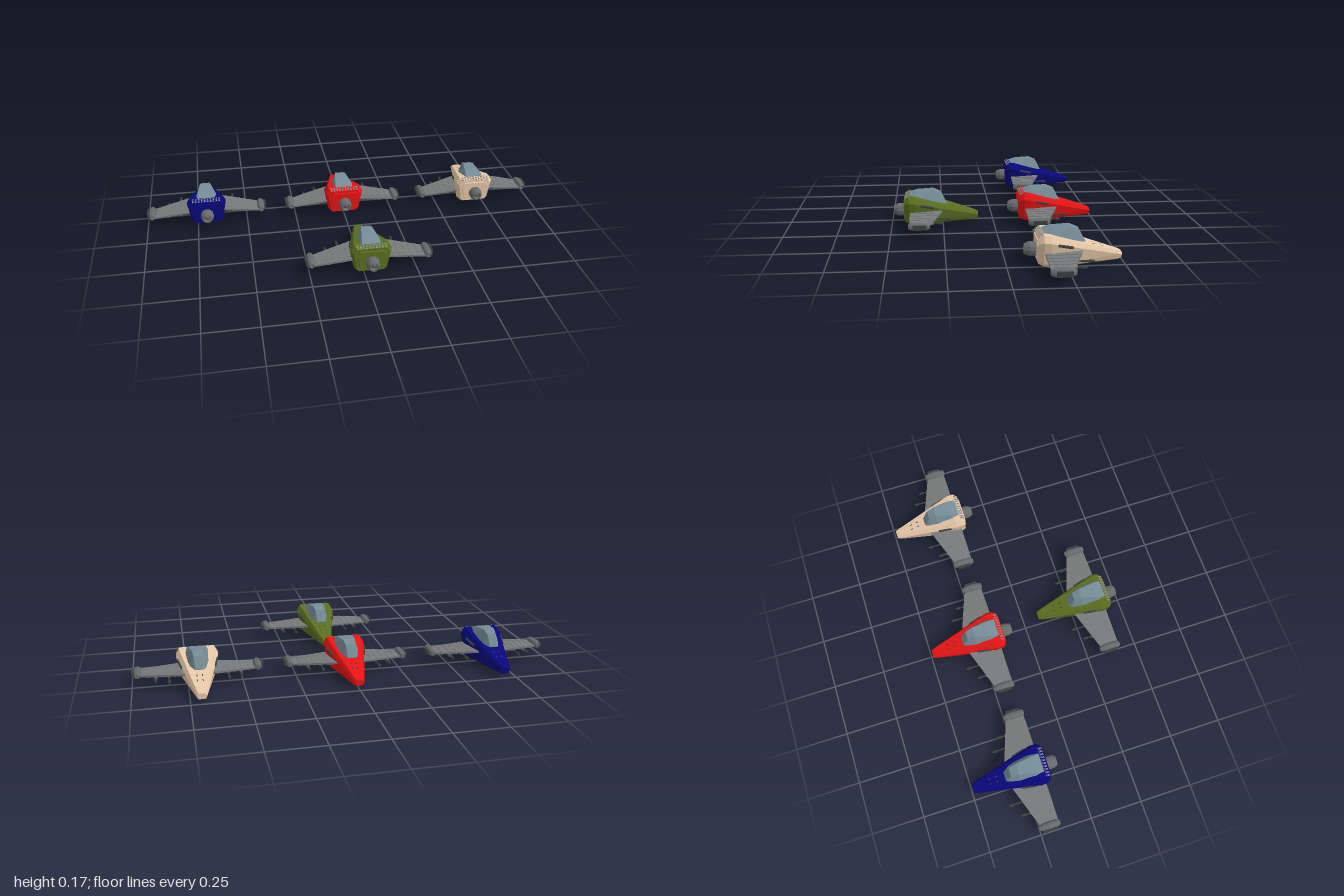
import * as THREE from 'three';

const mat = (color) => new THREE.MeshStandardMaterial({ color, flatShading: true, side: THREE.DoubleSide });
const wingMat = mat(0x777a7a), metalMat = mat(0x666a6a), darkMat = mat(0x3c4240), glassMat = mat(0x758c96), ventMat = mat(0x8c8c8c);

function add(parent, name, geometry, material, x = 0, y = 0, z = 0) {
  const mesh = new THREE.Mesh(geometry, material);
  mesh.name = name;
  mesh.position.set(x, y, z);
  parent.add(mesh);
  return mesh;
}

// Skin closed rings (counter-clockwise seen from +z) running from high z to low z
function loft(rings) {
  const pos = [], n = rings[0].length;
  const tri = (...p) => p.forEach((v) => pos.push(...v));
  for (let i = 0; i < rings.length - 1; i++) {
    for (let j = 0; j < n; j++) {
      const k = (j + 1) % n;
      const a = rings[i][j], b = rings[i][k], c = rings[i + 1][k], d = rings[i + 1][j];
      tri(a, d, c);
      tri(a, c, b);
    }
  }
  const first = rings[0], last = rings[rings.length - 1];
  for (let j = 1; j < n - 1; j++) {
    tri(first[0], first[j], first[j + 1]);
    tri(last[0], last[j + 1], last[j]);
  }
  const g = new THREE.BufferGeometry();
  g.setAttribute('position', new THREE.Float32BufferAttribute(pos, 3));
  g.computeVertexNormals();
  return g;
}

// Mirror the right half of a cross-section, listed bottom to top
const ring = (z, half) => [
  ...half.map(([x, y]) => [x, y, z]),
  ...half.slice().reverse().map(([x, y]) => [-x, y, z]),
];

const hullRing = ([z, yBottom, yWide, yTop, wBottom, wWide, wTop]) => ring(z, [
  [wBottom * 0.82, yBottom],
  [wBottom, yBottom + (yWide - yBottom) * 0.13],
  [wWide, yWide],
  [wTop, yTop],
]);

// Rod between two points
function rod(parent, name, a, b, r, material, r2 = r) {
  const A = new THREE.Vector3(...a), B = new THREE.Vector3(...b);
  const dir = B.clone().sub(A);
  const mesh = add(parent, name, new THREE.CylinderGeometry(r2, r, dir.length(), 8), material);
  mesh.position.copy(A).add(B).multiplyScalar(0.5);
  mesh.quaternion.setFromUnitVectors(new THREE.Vector3(0, 1, 0), dir.normalize());
  return mesh;
}

// Turned part along z; profile is [radius, z]
function turned(profile, sides) {
  return new THREE.LatheGeometry(profile.map(([r, z]) => new THREE.Vector2(r, z)), sides).rotateX(Math.PI / 2);
}

const wingY = (x) => 0.075 - 0.085 * x;

function buildWing(s) {
  const wing = new THREE.Group();
  wing.name = s > 0 ? 'leftWing' : 'rightWing';
  const tilt = -s * Math.atan(0.085);

  // Swept panel
  const shape = new THREE.Shape([[0.04, 0.155], [0.262, 0.155], [0.262, 0.245], [0.04, 0.322]]
    .map(([x, y]) => new THREE.Vector2(s * x, y)));
  const panel = add(wing, 'wingPanel',
    new THREE.ExtrudeGeometry(shape, { depth: 0.009, bevelEnabled: false }).translate(0, 0, -0.0045).rotateX(-Math.PI / 2),
    wingMat, 0, 0.075, 0);
  panel.rotation.z = tilt;

  // Chordwise ribs
  for (const x of [0.105, 0.135, 0.165, 0.195, 0.228]) {
    const lead = -0.336 + 0.347 * x;
    const rib = add(wing, 'wingRib', new THREE.BoxGeometry(0.005, 0.013, -0.157 - lead), wingMat, s * x, wingY(x), (lead - 0.157) / 2);
    rib.rotation.z = tilt;
  }
  // Spanwise flap hinge
  add(wing, 'flapHinge', new THREE.BoxGeometry(0.18, 0.012, 0.004), wingMat, s * 0.17, wingY(0.17), -0.182).rotation.z = tilt;

  // Guns slung below the wing
  for (const [x, tip] of [[0.133, -0.352], [0.193, -0.312]]) {
    const y = wingY(x) - 0.012;
    rod(wing, 'gunBody', [s * x, y, -0.175], [s * x, y, -0.27], 0.008, metalMat);
    rod(wing, 'gunBarrel', [s * x, y, -0.26], [s * x, y, tip], 0.004, darkMat);
    rod(wing, 'gunMuzzle', [s * x, y, tip + 0.022], [s * x, y, tip + 0.004], 0.0075, darkMat, 0.005);
  }

  // Wing-tip pod with a plate on its outer side
  add(wing, 'tipPod', turned([[0, -0.252], [0.011, -0.252], [0.018, -0.235], [0.02, -0.2], [0.018, -0.165],
    [0.012, -0.15], [0.008, -0.15], [0.007, -0.165], [0, -0.165]], 10), metalMat, s * 0.274, 0.056, 0);
  add(wing, 'tipPlate', new THREE.BoxGeometry(0.01, 0.022, 0.065), darkMat, s * 0.295, 0.056, -0.203);
  return wing;
}

function buildFighter(color) {
  const ship = new THREE.Group();
  const paint = mat(color);

  // Wedge hull
  add(ship, 'hull', loft([
    [-0.13, 0.018, 0.11, 0.134, 0.07, 0.083, 0.068],
    [-0.15, 0.009, 0.118, 0.146, 0.077, 0.096, 0.08],
    [-0.18, 0.002, 0.115, 0.143, 0.079, 0.097, 0.08],
    [-0.475, 0.017, 0.042, 0.055, 0.02, 0.027, 0.02],
    [-0.49, 0.022, 0.038, 0.048, 0.015, 0.021, 0.015],
  ].map(hullRing)), paint);
  add(ship, 'rearPlate', loft([
    [-0.125, 0.03, 0.1, 0.12, 0.056, 0.068, 0.056],
    [-0.135, 0.026, 0.104, 0.125, 0.06, 0.073, 0.06],
  ].map(hullRing)), paint);

  // Faceted canopy: z, base y, top y, base half width, top half width
  add(ship, 'canopy', loft([
    [-0.152, 0.13, 0.148, 0.055, 0.042],
    [-0.19, 0.125, 0.16, 0.06, 0.038],
    [-0.268, 0.1, 0.168, 0.053, 0.026],
    [-0.305, 0.09, 0.153, 0.042, 0.021],
    [-0.333, 0.085, 0.1, 0.03, 0.017],
  ].map(([z, y0, y1, w0, w1]) => ring(z, [[w0, y0], [w1, y1]]))), glassMat);

  // Engine nozzle
  add(ship, 'engine', turned([[0, -0.14], [0.027, -0.14], [0.028, -0.128], [0.032, -0.122], [0.032, -0.098],
    [0.023, -0.076], [0.017, -0.076], [0.014, -0.095], [0, -0.085]], 12), metalMat, 0, 0.067, 0);

  // Vent grid on the rear upper bevel
  for (let row = 0; row < 3; row++) {
    for (let i = 0; i < 10; i++) {
      const t = (row + 0.5) / 3;
      const vent = add(ship, 'vent', new THREE.BoxGeometry(0.008, 0.004, 0.005), ventMat,
        (i - 4.5) * 0.0145, 0.134 + 0.012 * t, -0.13 - 0.02 * t);
      vent.rotation.x = Math.atan(0.6);
    }
  }

  for (const s of [1, -1]) {
    ship.add(buildWing(s));
    // Cheek gun on the upper flank
    rod(ship, 'cheekGun', [s * 0.089, 0.105, -0.208], [s * 0.075, 0.09, -0.272], 0.006, darkMat);
    // Slots on the nose
    for (const z of [-0.37, -0.405, -0.44]) {
      const slot = add(ship, 'noseSlot', new THREE.BoxGeometry(0.004, 0.003, 0.014), darkMat,
        s * 0.012, 0.143 + 0.3051 * (z + 0.18), z);
      slot.rotation.x = -Math.atan(0.305);
    }
  }
  return ship;
}

export function createModel() {
  const model = new THREE.Group();
  model.name = 'fighterSquadron';
  const fleet = [
    ['navyFighter', 0x08087c, -0.7, 0],
    ['redFighter', 0xe81414, 0.002, 0],
    ['tanFighter', 0xe6c8a8, 0.7, 0],
    ['oliveFighter', 0x5a7020, 0.034, 0.566],
  ];
  for (const [name, color, x, z] of fleet) {
    const ship = buildFighter(color);
    ship.name = name;
    ship.position.set(x, 0, z);
    model.add(ship);
  }
  return model;
}
